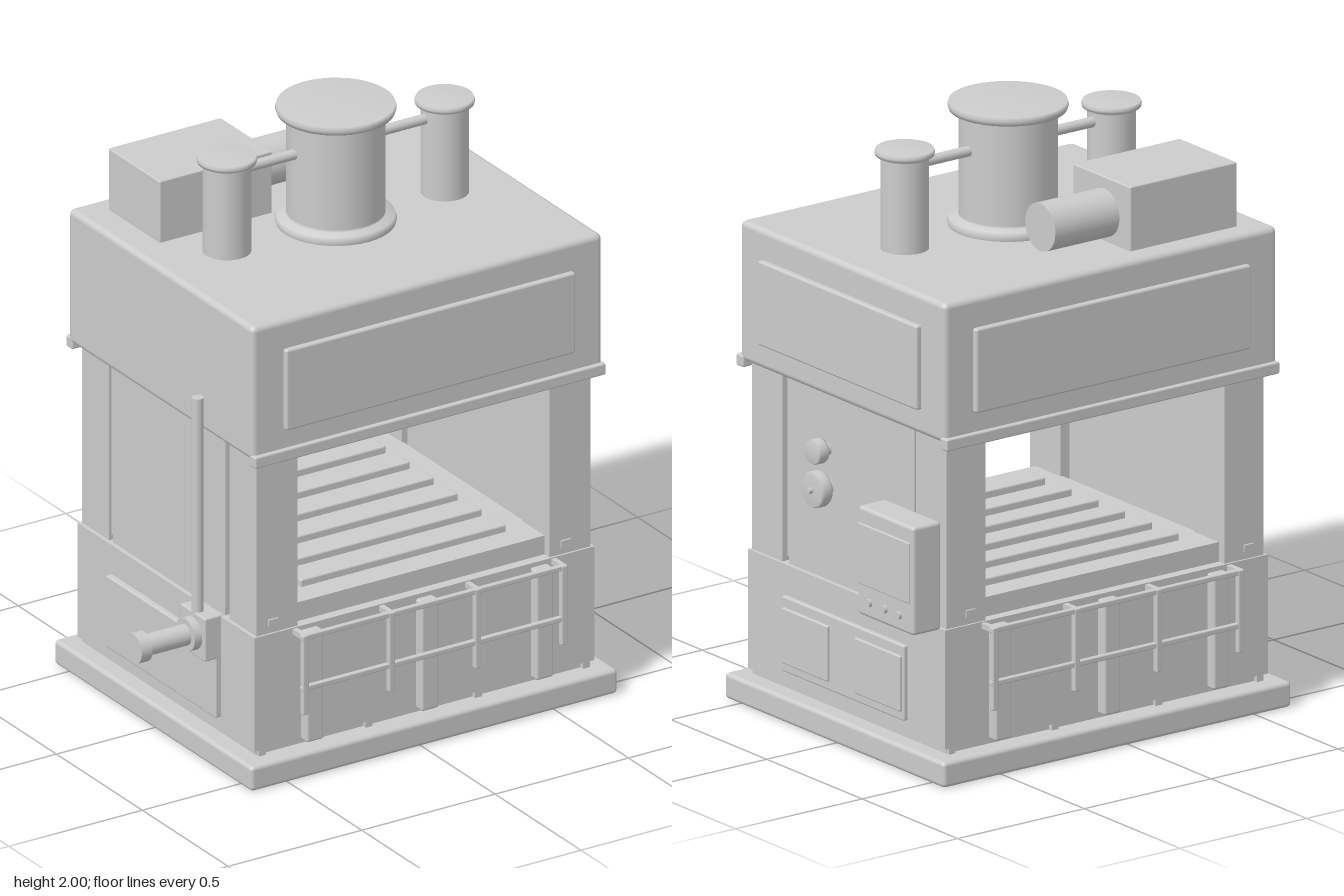
import * as THREE from 'three';
import { RoundedBoxGeometry } from 'three/addons/geometries/RoundedBoxGeometry.js';

const CX = 0.047; // centre line of the machine body

export function createModel() {
  const root = new THREE.Group();
  const grey = new THREE.MeshStandardMaterial({ color: 0xcccccc });
  grey.name = 'machineGrey';

  const add = (name, geo, x, y, z) => {
    const m = new THREE.Mesh(geo, grey);
    m.name = name;
    m.position.set(x, y, z);
    root.add(m);
    return m;
  };
  // box from min/max ranges, with an optional softened edge
  const box = (name, [x0, x1], [y0, y1], [z0, z1], r = 0) => {
    const s = [x1 - x0, y1 - y0, z1 - z0];
    const g = r ? new RoundedBoxGeometry(...s, 2, r) : new THREE.BoxGeometry(...s);
    return add(name, g, (x0 + x1) / 2, (y0 + y1) / 2, (z0 + z1) / 2);
  };
  // turned part, profile [radius, height] from bottom to top
  const turned = (name, pts, x, y, z) =>
    add(name, new THREE.LatheGeometry(pts.map(p => new THREE.Vector2(...p)), 40), x, y, z);
  // cylinder along x
  const rodX = (name, r, x0, x1, y, z) => {
    const m = add(name, new THREE.CylinderGeometry(r, r, x1 - x0, 28), (x0 + x1) / 2, y, z);
    m.rotation.z = -Math.PI / 2;
    return m;
  };
  const rodY = (name, r, x, y0, y1, z) =>
    add(name, new THREE.CylinderGeometry(r, r, y1 - y0, 20), x, (y0 + y1) / 2, z);

  // base and lower cabinet
  box('basePlate', [-0.64, 0.735], [0, 0.085], [-0.575, 0.575], 0.014);
  box('plinth', [-0.575, 0.67], [0.08, 0.11], [-0.5, 0.5]);
  box('lowerCabinet', [-0.59, 0.685], [0.105, 0.5], [-0.515, 0.515]);

  // front and back: ribs, plinth blocks, guard rail, housing panel and lip
  for (const s of [1, -1]) {
    const zr = (a, b) => (s > 0 ? [a, b] : [-b, -a]);
    for (const x of [-0.383, 0.048, 0.478])
      box('cabinetRib', [x - 0.032, x + 0.032], [0.105, 0.485], zr(0.5, 0.55), 0.008);
    for (const x of [-0.56, -0.16, 0.25, 0.655])
      box('plinthBlock', [x - 0.013, x + 0.013], [0.08, 0.106], zr(0.48, 0.515));
    for (const y of [0.31, 0.487])
      box('guardRailBar', [-0.45, 0.545], [y - 0.009, y + 0.009], zr(0.56, 0.578), 0.004);
    for (const x of [-0.437, -0.114, 0.209, 0.532]) {
      box('guardRailPost', [x - 0.011, x + 0.011], [0.22, 0.495], zr(0.559, 0.58), 0.004);
      box('guardRailBracket', [x - 0.009, x + 0.009], [0.478, 0.496], zr(0.5, 0.565));
    }
    box('housingPanel', [-0.495, 0.59], [1.21, 1.49], zr(0.52, 0.555), 0.008);
    box('housingLip', [-0.61, 0.705], [1.105, 1.145], zr(0.515, 0.552), 0.006);
    // corner pillars and foot clips
    for (const x of [-0.5, 0.597]) {
      box('cornerPillar', [x - 0.077, x + 0.077], [0.495, 1.14], zr(0.35, 0.508));
      box('pillarClip', [x - 0.035, x + 0.002], [0.525, 0.548], zr(0.5, 0.515));
    }
  }

  // cabinet side windows
  box('sidePanel', [0.67, 0.7], [0.15, 0.4], [-0.32, 0.32], 0.006);
  for (const s of [1, -1])
    box('sideWindow', [0.69, 0.709], [0.18, 0.365], s > 0 ? [0.07, 0.31] : [-0.31, -0.07], 0.005);
  box('leftSidePanel', [-0.61, -0.58], [0.15, 0.4], [-0.32, 0.32], 0.006);

  // side walls
  box('rightWall', [0.535, 0.672], [0.525, 1.14], [-0.34, 0.325]);
  box('leftWall', [-0.575, -0.44], [0.525, 1.14], [-0.34, 0.325]);

  // press bed with slats
  box('bed', [-0.43, 0.525], [0.49, 0.565], [-0.48, 0.48]);
  box('bedSill', [-0.575, 0.67], [0.49, 0.527], [-0.33, 0.32]);
  for (let i = 0; i < 6; i++) {
    const z = -0.35 + i * 0.14;
    box('bedSlat', [-0.335, 0.435], [0.56, 0.59], [z - 0.04, z + 0.04], 0.006);
  }

  // upper housing
  box('upperHousing', [-0.612, 0.703], [1.125, 1.59], [-0.537, 0.537], 0.02);
  box('housingSidePanel', [0.69, 0.722], [1.21, 1.49], [-0.415, 0.418], 0.008);

  // main cylinder on the roof
  turned('mainCylinder', [[0.19, 0], [0.193, 0.012], [0.188, 0.028], [0.157, 0.032], [0.157, 0.04],
    [0.157, 0.37], [0.157, 0.378], [0.187, 0.382], [0.192, 0.396], [0.188, 0.41], [0, 0.41]], CX, 1.59, 0);
  // side cylinders
  for (const s of [1, -1]) {
    turned('sideCylinder', [[0.077, 0], [0.077, 0.3], [0.077, 0.306], [0.094, 0.31], [0.096, 0.32],
      [0.092, 0.33], [0, 0.33]], CX + s * 0.408, 1.59, 0);
    const a = CX + s * 0.14, b = CX + s * 0.345;
    rodX('connectingPipe', 0.017, Math.min(a, b), Math.max(a, b), 1.86, 0);
  }

  // pump unit
  box('pumpTank', [-0.51, -0.088], [1.58, 1.803], [-0.46, -0.16], 0.005);
  rodX('pumpMotor', 0.079, -0.09, 0.165, 1.685, -0.325);

  // control box on its arm
  box('controlArm', [0.6, 0.75], [0.68, 0.735], [-0.455, -0.4]);
  box('controlBox', [0.745, 0.857], [0.53, 0.89], [-0.577, -0.285], 0.012);
  box('controlScreen', [0.85, 0.863], [0.635, 0.837], [-0.562, -0.29], 0.004);
  for (const z of [-0.35, -0.43, -0.505]) rodX('controlButton', 0.013, 0.85, 0.868, 0.583, z);

  // pressure gauges
  for (const [y, r] of [[0.935, 0.041], [0.81, 0.059]]) {
    rodX('gaugeStem', r * 0.5, 0.66, 0.7, y, 0.115);
    const g = turned('gauge', [[0, 0], [r * 0.92, 0], [r, 0.008], [r, 0.034], [r * 0.9, 0.043], [0, 0.043]], 0.694, y, 0.115);
    g.rotation.z = -Math.PI / 2;
  }
  rodX('gaugeHub', 0.01, 0.73, 0.752, 0.81, 0.115);

  // side valve with riser pipe
  box('valveBracket', [-0.65, -0.58], [0.355, 0.505], [0.175, 0.32], 0.006);
  rodY('riserPipe', 0.019, -0.632, 0.49, 1.245, 0.25);
  rodX('valveCollar', 0.055, -0.678, -0.645, 0.432, 0.25);
  rodX('valveShaft', 0.035, -0.84, -0.67, 0.432, 0.25);
  rodX('valveKnob', 0.05, -0.873, -0.833, 0.432, 0.25);

  return root;
}
